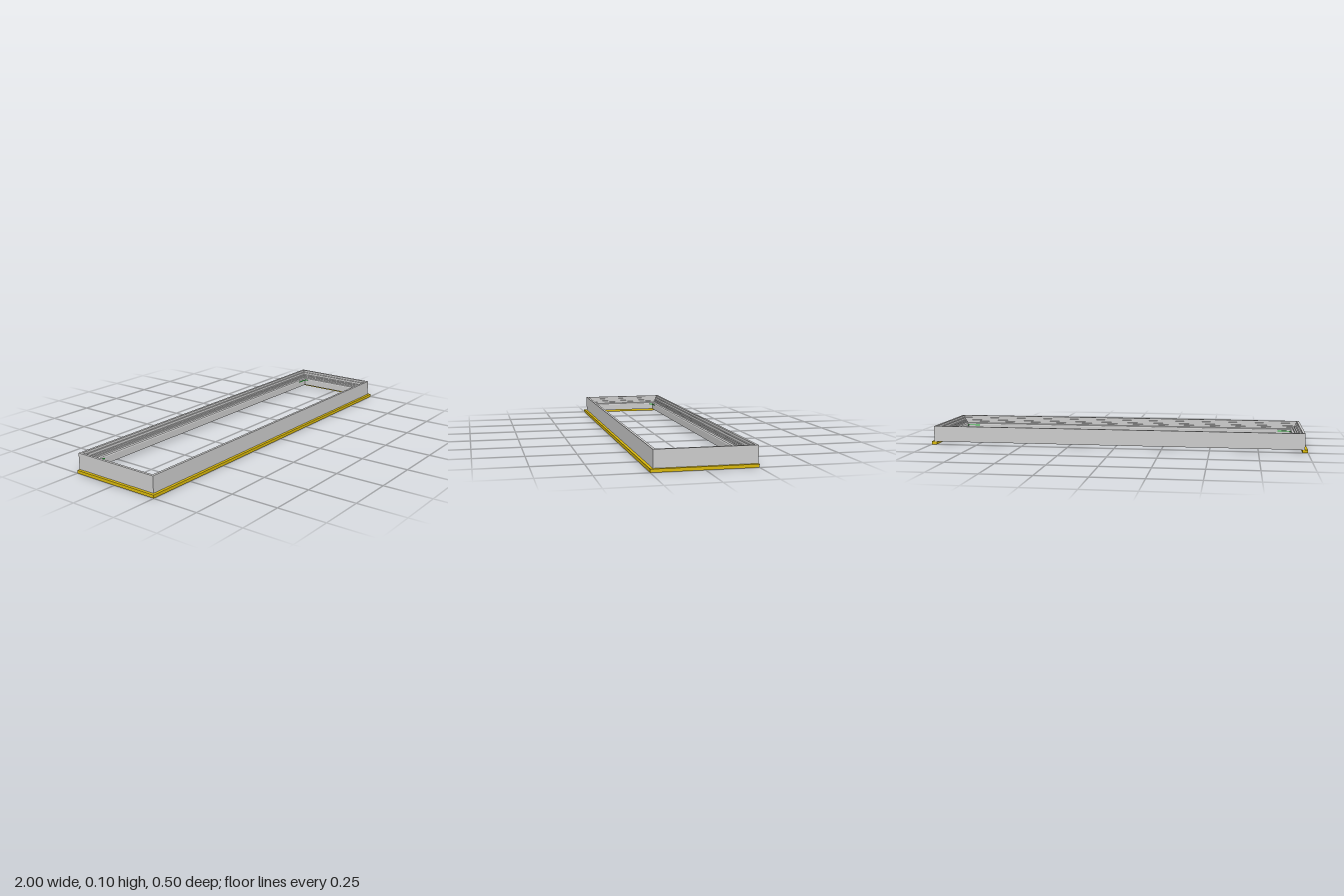
import * as THREE from 'three';

const grey = new THREE.MeshStandardMaterial({ color: 0xcccccc, flatShading: true });
const yellow = new THREE.MeshStandardMaterial({ color: 0xd9b80c });
const green = new THREE.MeshStandardMaterial({ color: 0x22bb33 });

// Outer rectangle of the frame
const X = 0.985, BACK = -0.25, FRONT = 0.235, BASE = 0.016;

// Sweep a closed section of [inset, height] points round the rectangle with mitred corners
function mitredFrame(section) {
  const rings = section.map(([d, y]) => [
    [-X + d, y, FRONT - d], [X - d, y, FRONT - d],
    [X - d, y, BACK + d], [-X + d, y, BACK + d],
  ]);
  const pos = [];
  for (let i = 0; i < rings.length; i++) {
    const a = rings[i], b = rings[(i + 1) % rings.length];
    for (let k = 0; k < 4; k++) {
      const n = (k + 1) % 4;
      pos.push(...a[k], ...a[n], ...b[n], ...a[k], ...b[n], ...b[k]);
    }
  }
  const geo = new THREE.BufferGeometry();
  geo.setAttribute('position', new THREE.Float32BufferAttribute(pos, 3));
  geo.computeVertexNormals();
  return geo;
}

function box(parent, name, material, x0, x1, y0, y1, z0, z1) {
  const mesh = new THREE.Mesh(new THREE.BoxGeometry(x1 - x0, y1 - y0, z1 - z0), material);
  mesh.position.set((x0 + x1) / 2, (y0 + y1) / 2, (z0 + z1) / 2);
  mesh.name = name;
  parent.add(mesh);
}

export function createModel() {
  const model = new THREE.Group();
  model.name = 'windowFrame';

  // Frame: tall outer wall stepping down to a broad inner lip
  const frame = new THREE.Mesh(mitredFrame([
    [0, BASE], [0, 0.1], [0.013, 0.1], [0.013, 0.088], [0.02, 0.088],
    [0.02, 0.075], [0.028, 0.075], [0.028, 0.068], [0.036, 0.068],
    [0.036, 0.06], [0.046, 0.057], [0.049, 0.052], [0.049, BASE],
  ]), grey);
  frame.name = 'frame';
  model.add(frame);

  // Trim strips under the front and both ends
  const trim = new THREE.Group();
  trim.name = 'trim';
  model.add(trim);
  const w = 0.028;
  box(trim, 'frontTrim', yellow, -1, 1, 0, BASE, 0.25 - w, 0.25);
  box(trim, 'leftTrim', yellow, 1 - w, 1, 0, BASE, BACK, 0.25 - w);
  box(trim, 'rightTrim', yellow, -1, -1 + w, 0, BASE, BACK, 0.25 - w);

  // Small corner brackets on the inner lip
  const brackets = new THREE.Group();
  brackets.name = 'cornerBrackets';
  model.add(brackets);
  const xi = X - 0.049, t = 0.004, len = 0.07;
  for (const s of [-1, 1]) {
    for (const [zi, dir] of [[BACK + 0.049, 1], [FRONT - 0.049, -1]]) {
      const xs = (a, b) => [Math.min(s * a, s * b), Math.max(s * a, s * b)];
      const zs = (b) => [Math.min(zi, zi + dir * b), Math.max(zi, zi + dir * b)];
      box(brackets, 'bracketLong', green, ...xs(xi - len, xi), 0.046, 0.05, ...zs(t));
      box(brackets, 'bracketShort', green, ...xs(xi - t, xi), 0.046, 0.05, ...zs(0.02));
    }
  }
  return model;
}
